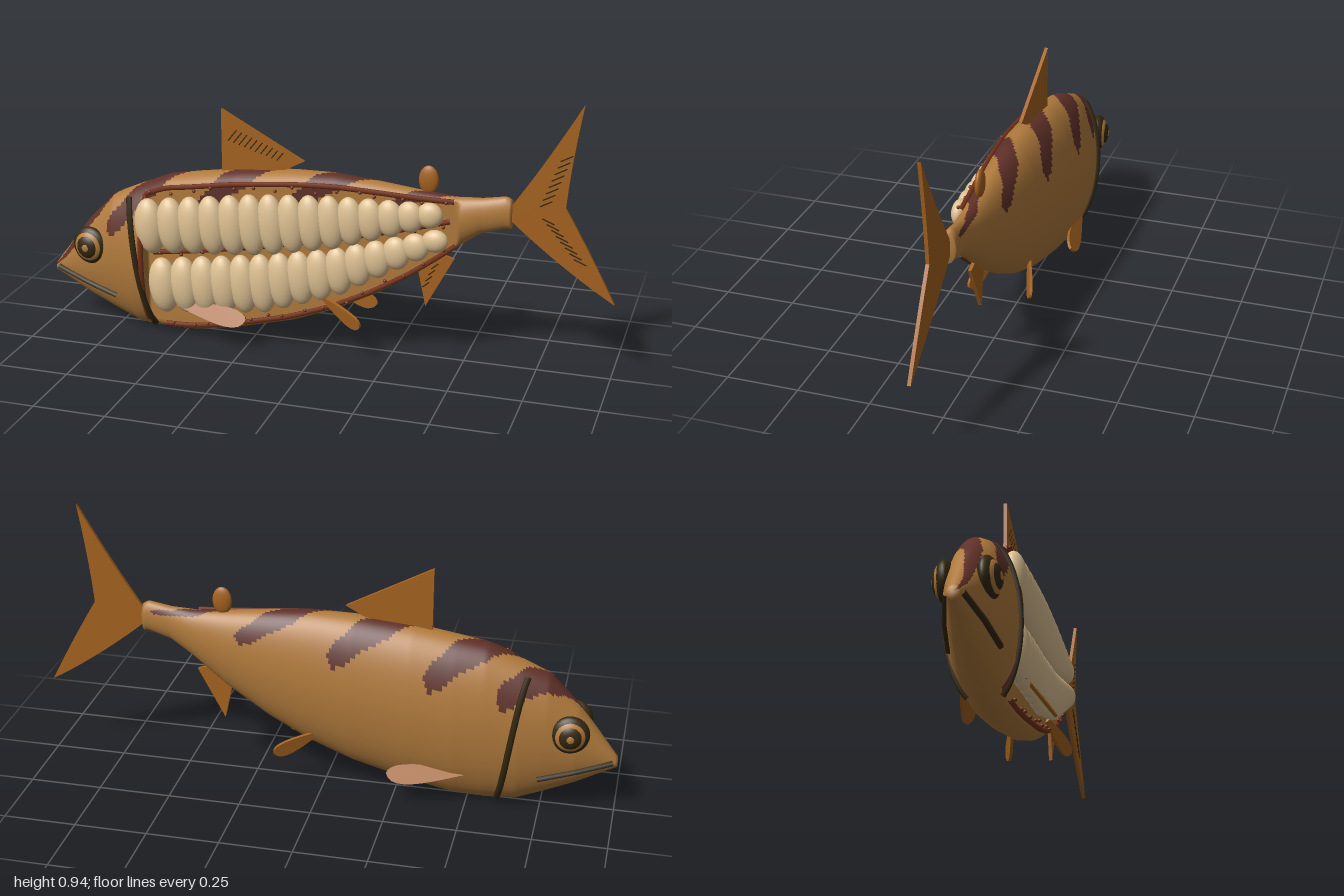
import * as THREE from 'three';

const mat = (name, color, side = THREE.FrontSide) => {
  const m = new THREE.MeshStandardMaterial({ color, side });
  m.name = name;
  return m;
};
const V = (x, y, z) => new THREE.Vector3(x, y, z);
const ZC = 0.01; // mid plane of the fish
const CUT = 0.45; // how far the opened side reaches, as a share of the half width

// stations along the body: x, top, bottom, half width
const STATIONS = [
  [-1, 0.2, 0.165, 0.018], [-0.86, 0.385, 0.09, 0.068], [-0.76, 0.485, 0.045, 0.093], [-0.67, 0.525, 0.008, 0.112],
  [-0.55, 0.575, 0.0, 0.125], [-0.45, 0.592, 0.004, 0.132], [-0.3, 0.615, 0.033, 0.132], [-0.1, 0.632, 0.085, 0.123],
  [0.05, 0.634, 0.143, 0.108], [0.2, 0.62, 0.222, 0.088], [0.35, 0.603, 0.322, 0.066], [0.47, 0.593, 0.42, 0.045],
  [0.55, 0.597, 0.475, 0.031], [0.63, 0.611, 0.5, 0.026], [0.65, 0.6, 0.5, 0.024],
];

function station(x) {
  let i = 0;
  while (i < STATIONS.length - 2 && x > STATIONS[i + 1][0]) i++;
  const a = STATIONS[i], b = STATIONS[i + 1];
  const t = THREE.MathUtils.clamp((x - a[0]) / (b[0] - a[0]), 0, 1);
  return a.map((v, k) => v + (b[k] - v) * t);
}

// point on the skin; the angle runs from the back (0) toward +z
function surf(x, ang, grow = 1, open = true) {
  const [, top, bot, hw] = station(x);
  let z = Math.sin(ang) * hw;
  if (open && x > -0.635 && x < 0.475) z = Math.min(z, CUT * hw);
  return V(x, (top + bot) / 2 + Math.cos(ang) * (top - bot) / 2 * grow, ZC + z * grow);
}

function isStripe(x, ang) {
  return [-0.81, -0.57, -0.24, 0.09, 0.41].some((c, k) => {
    const f = 1 - (ang / 1.15) ** 2;
    return f > 0 && Math.abs(x - c - 0.05 + 0.17 * (ang + 0.25) + 0.008 * Math.sin(ang * 9)) < (k > 3 ? 0.055 : 0.075) * Math.sqrt(f);
  });
}

function bodyGeometry() {
  const NX = 200, NA = 80, pos = [], skin = [], stripe = [];
  for (let i = 0; i <= NX + 2; i++) {
    const x = -1 + 1.65 * THREE.MathUtils.clamp((i - 1) / NX, 0, 1);
    const grow = i === 0 || i === NX + 2 ? 0 : 1; // closed ends
    for (let j = 0; j < NA; j++) pos.push(...surf(x, (j / NA) * 2 * Math.PI - Math.PI, grow).toArray());
  }
  for (let i = 0; i < NX + 2; i++) for (let j = 0; j < NA; j++) {
    const k = (j + 1) % NA;
    const a = i * NA + j, b = i * NA + k, c = a + NA, d = b + NA;
    const x = -1 + 1.65 * (i - 0.5) / NX, ang = ((j + 0.5) / NA) * 2 * Math.PI - Math.PI;
    (isStripe(x, ang) ? stripe : skin).push(a, b, c, b, d, c);
  }
  const g = new THREE.BufferGeometry();
  g.setAttribute('position', new THREE.Float32BufferAttribute(pos, 3));
  g.setIndex([...skin, ...stripe]);
  g.addGroup(0, skin.length, 0);
  g.addGroup(skin.length, stripe.length, 1);
  g.computeVertexNormals();
  return g;
}

export function createModel() {
  const skin = mat('skin', 0xb07a3c), stripe = mat('stripe', 0x5f3028), fin = mat('fin', 0xa5621f, THREE.DoubleSide);
  const flesh = mat('flesh', 0xdec193), dark = mat('dark', 0x33270f), red = mat('rim red', 0x74321a);
  const model = new THREE.Group();
  const add = (name, geo, material, parent = model) => {
    const m = new THREE.Mesh(geo, material);
    m.name = name;
    parent.add(m);
    return m;
  };
  const tube = (name, pts, r, material) =>
    add(name, new THREE.TubeGeometry(new THREE.CatmullRomCurve3(pts), 48, r, 6), material);
  const line = (n, f) => Array.from({ length: n + 1 }, (_, i) => f(i / n));
  const ball = (name, p, sx, sy, sz, material, parent) => {
    const m = add(name, new THREE.SphereGeometry(1, 24, 16), material, parent);
    m.position.copy(p);
    m.scale.set(sx, sy, sz);
    return m;
  };

  add('body', bodyGeometry(), [skin, stripe]);

  // two rows of plump flesh segments in the opened side
  const rows = [
    { x: [-0.6, 0.385], mid: [[-0.6, 0.405], [-0.2, 0.45], [0.05, 0.482], [0.4, 0.54]], h: [0.1, 0.11, 0.095, 0.042] },
    { x: [-0.555, 0.405], mid: [[-0.6, 0.185], [-0.2, 0.235], [0.05, 0.3], [0.4, 0.447]], h: [0.1, 0.107, 0.088, 0.04] },
  ];
  const pick = (xs, ys, x) => {
    let i = 0;
    while (i < xs.length - 2 && x > xs[i + 1]) i++;
    return ys[i] + (ys[i + 1] - ys[i]) * (x - xs[i]) / (xs[i + 1] - xs[i]);
  };
  const fleshGroup = new THREE.Group();
  fleshGroup.name = 'flesh';
  model.add(fleshGroup);
  for (const r of rows) for (let i = 0; i < 15; i++) {
    const t = i / 14, x = r.x[0] + (r.x[1] - r.x[0]) * Math.pow(t, 0.95);
    const xs = r.mid.map(p => p[0]);
    const y = pick(xs, r.mid.map(p => p[1]), x), h = pick(xs, r.h, x);
    const z = 0.096 - 0.03 * Math.pow(t, 1.6);
    ball('fleshSegment', V(x, y, z), 0.055 - 0.01 * t, h, 0.043 - 0.016 * t, flesh, fleshGroup).rotation.z = 0.1;
  }

  // rims of the opening, and the line between the rows
  const edge = Math.asin(CUT);
  const rim = (a, x0, x1, dz) => t => surf(x0 + (x1 - x0) * t, a, 0.985).add(V(0, 0, dz));
  const topRim = rim(edge, -0.625, 0.46, 0.008), lowRim = rim(Math.PI - edge, -0.56, 0.47, 0.008);
  const midLine = t => V(-0.6 + 1.05 * t, 0.3 + 0.13 * t + 0.085 * t * t, 0.075 - 0.032 * t);
  tube('upperRim', line(14, topRim), 0.009, red);
  tube('lowerRim', line(14, lowRim), 0.009, red);
  tube('middleRim', line(10, midLine), 0.009, red);
  tube('frontRim', line(10, t => surf(-0.63, edge + (Math.PI - 2 * edge) * t, 0.97, false)), 0.01, red);

  // small beads scattered along the rims
  let seed = 7;
  const rnd = () => (seed = (seed * 16807) % 2147483647) / 2147483647 - 0.5;
  for (const [f, dy, dz] of [[topRim, -0.012, 0.012], [lowRim, 0.012, 0.01], [midLine, 0, 0.015]])
    for (let i = 0; i < 15; i++)
      ball('bead', f((i + 0.5) / 15).add(V(rnd() * 0.03, dy + rnd() * 0.025, dz)), 0.006, 0.006, 0.006, red);

  // gill, mouth and eye on each side
  for (const s of [1, -1]) {
    tube('gill', line(14, t => surf(-0.69 + 0.085 * t, s * (0.5 + 2.2 * t), 1.015, false)), 0.011, dark);
    tube('mouth', line(8, t => {
      const x = -0.985 + 0.245 * t, y = 0.187 - 0.062 * t, [, top, bot] = station(x);
      return surf(x, s * Math.acos((y - (top + bot) / 2) / ((top - bot) / 2)), 1.01, false);
    }), 0.011, dark);
    const eye = new THREE.Group();
    eye.name = 'eye';
    eye.position.set(-0.84, 0.3, ZC + s * 0.066);
    eye.rotation.y = -s * 0.12;
    model.add(eye);
    ball('eyeRim', V(0, 0, 0), 0.066, 0.068, 0.03, dark, eye);
    ball('iris', V(0, 0, s * 0.008), 0.055, 0.057, 0.028, skin, eye);
    ball('pupilRing', V(0, 0, s * 0.019), 0.042, 0.044, 0.021, dark, eye);
    ball('pupil', V(0, 0, s * 0.024), 0.023, 0.024, 0.018, skin, eye);
  }

  // flat fins in the mid plane
  const plate = (name, shape, depth = 0.012) => {
    const g = new THREE.ExtrudeGeometry(shape, { depth, bevelEnabled: false, curveSegments: 10 });
    add(name, g.translate(0, 0, ZC - depth / 2), fin);
  };
  const poly = pts => new THREE.Shape(pts.map(p => new THREE.Vector2(...p)));
  const tail = new THREE.Shape();
  tail.moveTo(0.64, 0.57);
  tail.quadraticCurveTo(0.75, 0.73, 0.87, 0.945);
  tail.quadraticCurveTo(0.835, 0.74, 0.825, 0.59);
  tail.quadraticCurveTo(0.92, 0.43, 1, 0.272);
  tail.quadraticCurveTo(0.82, 0.38, 0.64, 0.535);
  plate('tailFin', tail);
  plate('dorsalFin', poly([[-0.36, 0.59], [-0.15, 0.62], [-0.065, 0.665], [-0.36, 0.825]]));
  plate('analFin', poly([[0.335, 0.33], [0.365, 0.192], [0.46, 0.372], [0.4, 0.39]]));
  ball('smallBackFin', V(0.365, 0.64, ZC - 0.005), 0.034, 0.05, 0.015, fin);

  // short fin rays on the near face
  const rays = (name, n, f) => {
    for (let i = 0; i < n; i++) {
      const [x, y, len, a] = f(i / (n - 1));
      const m = add(name, new THREE.BoxGeometry(len, 0.004, 0.003), dark);
      m.position.set(x, y, ZC + 0.0065);
      m.rotation.z = a;
    }
  };
  rays('dorsalRay', 10, t => [-0.32 + 0.17 * t, 0.735 - 0.06 * t, 0.05 - 0.015 * t, 0.9]);
  rays('tailRayUpper', 8, t => [0.76 + 0.06 * t, 0.6 + 0.16 * t, 0.045, 0.5]);
  rays('tailRayLower', 8, t => [0.77 + 0.11 * t, 0.54 - 0.13 * t, 0.045, -0.4]);
  rays('analRay', 4, t => [0.365 + 0.03 * t, 0.27 + 0.07 * t, 0.03, 0.7]);

  // paired fins: leaf blades laid from root to tip
  const leaf = (name, root, tip, width, across) => {
    const dir = tip.clone().sub(root), len = dir.length();
    const s = new THREE.Shape();
    s.moveTo(0, -width * 0.12);
    s.bezierCurveTo(len * 0.5, -width * 0.5, len * 0.95, -width * 0.85, len, 0);
    s.bezierCurveTo(len * 0.95, width * 0.6, len * 0.5, width * 0.4, 0, width * 0.12);
    const g = new THREE.ExtrudeGeometry(s, { depth: 0.01, bevelEnabled: false, curveSegments: 10 }).translate(0, 0, -0.005);
    const X = dir.normalize(), Z = X.clone().cross(across).normalize(), Y = Z.clone().cross(X);
    g.applyMatrix4(new THREE.Matrix4().makeBasis(X, Y, Z).setPosition(root));
    add(name, g, fin);
  };
  for (const s of [1, -1]) {
    leaf('pectoralFin', V(-0.5, 0.13, ZC + s * 0.095), V(-0.235, 0.115, ZC + s * 0.135), 0.075, V(0, 0.8, -s * 0.5));
    leaf('pelvicFin', V(0.02, 0.2, ZC + s * 0.06), V(0.165, 0.13, ZC + s * 0.11), 0.06, V(0.3, 0.9, s * 0.3));
  }
  return model;
}
